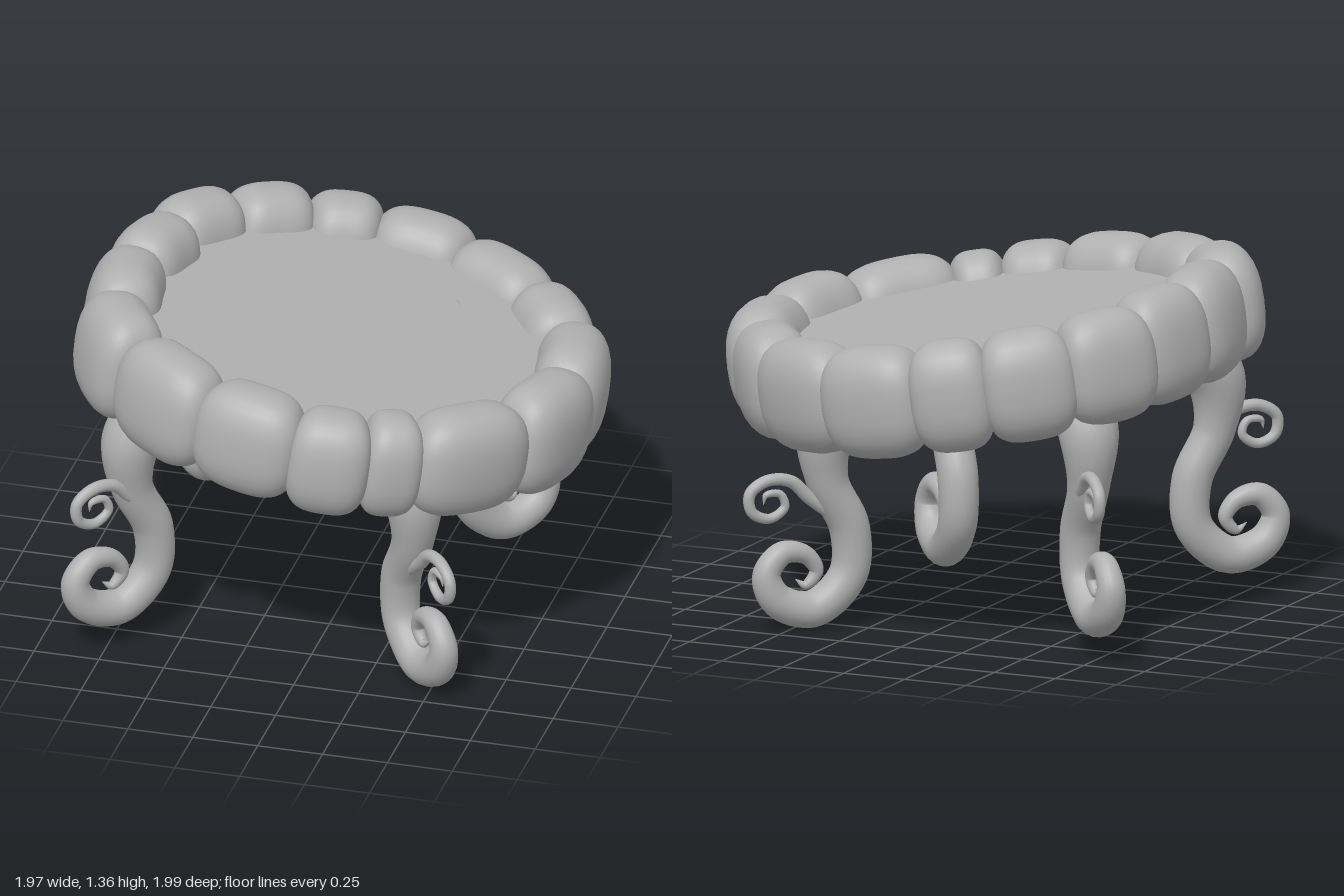
import * as THREE from 'three';

// Smooth closed skin from a rule: u runs along the part, v around it
function skin(nu, nv, rule) {
  const pos = [], idx = [];
  for (let i = 0; i <= nu; i++) for (let j = 0; j < nv; j++) pos.push(...rule(i / nu, (j / nv) * Math.PI * 2));
  for (let i = 0; i < nu; i++) for (let j = 0; j < nv; j++) {
    const k = (j + 1) % nv;
    const a = i * nv + j, b = i * nv + k, c = a + nv, d = b + nv;
    idx.push(a, b, c, b, d, c);
  }
  const g = new THREE.BufferGeometry();
  g.setAttribute('position', new THREE.Float32BufferAttribute(pos, 3));
  g.setIndex(idx);
  g.computeVertexNormals();
  return g;
}

// Tapering tube in the diagonal plane; points are [offset along x, height, radius]
function curl(points, nu, nv) {
  const path = new THREE.CatmullRomCurve3(points.map(([d, y, r]) => new THREE.Vector3(d * Math.SQRT2, y, r)));
  return skin(nu, nv, (u, v) => {
    const p = path.getPoint(u), t = path.getTangent(u);
    const l = Math.hypot(t.x, t.y), c = Math.cos(v) * p.z;
    return [p.x - (t.y / l) * c, p.y + (t.x / l) * c, Math.sin(v) * p.z];
  });
}

// Pillow-shaped stone between two angles of the ring
function stone(from, to, outer, height, lift) {
  const mid = (from + to) / 2, half = ((to - from) / 2) * 1.13;
  const round = (x) => Math.sign(x) * Math.abs(x) ** 0.8;
  return skin(28, 32, (u, v) => {
    const t = Math.sin((u - 0.5) * Math.PI);
    const s = Math.max(0, 1 - Math.abs(t) ** 3.3) ** (1 / 3.3);
    const a = THREE.MathUtils.degToRad(mid + half * t);
    const r = outer - 0.145 + 0.145 * s * round(Math.cos(v));
    return [r * Math.cos(a), lift + height * s * round(Math.sin(v)), r * Math.sin(a)];
  });
}

export function createModel() {
  const model = new THREE.Group();
  const grey = new THREE.MeshStandardMaterial({ color: 0xb0b0b0 });
  const add = (parent, geometry, name) => {
    const mesh = new THREE.Mesh(geometry, grey);
    mesh.name = name;
    parent.add(mesh);
    return mesh;
  };

  // Tilted table top
  const top = new THREE.Group();
  top.name = 'tableTop';
  top.position.y = 1.015;
  top.rotation.set(-0.045, 0, -0.126);
  model.add(top);
  add(top, new THREE.CylinderGeometry(0.8, 0.8, 0.235, 64), 'slab').position.y = -0.025;

  // Ring of uneven stones: [start angle in degrees, outer radius, half height, lift]
  const stones = [
    [3, 1, 0.222, 0], [28.3, 0.982, 0.212, -0.015], [56.5, 0.962, 0.203, -0.025], [70, 0.995, 0.205, -0.02],
    [87.6, 1, 0.209, -0.005], [111.2, 1.022, 0.215, 0], [136.7, 1.045, 0.22, 0.01], [158.8, 0.992, 0.22, 0.015],
    [183.5, 0.992, 0.22, 0.015], [205.3, 1.05, 0.215, 0.01], [225.4, 1.045, 0.213, 0], [244.5, 1.015, 0.213, -0.01],
    [261.6, 1, 0.213, -0.02], [285, 0.958, 0.213, -0.02], [312.7, 0.952, 0.216, -0.01], [336, 0.983, 0.222, 0],
  ];
  stones.forEach(([from, ...size], i) => {
    const to = i < 15 ? stones[i + 1][0] : 363;
    add(top, stone(from, to, ...size), 'rimStone' + (i + 1));
  });

  // Scrolled legs, each with a small tendril
  const legShape = curl([
    [0.38, 0.98, 0.1], [0.46, 0.88, 0.115], [0.532, 0.75, 0.112], [0.53, 0.56, 0.08], [0.467, 0.37, 0.076],
    [0.472, 0.19, 0.073], [0.57, 0.072, 0.07], [0.67, 0.115, 0.064], [0.7, 0.215, 0.053], [0.655, 0.292, 0.045],
    [0.59, 0.278, 0.035], [0.56, 0.215, 0.027], [0.59, 0.165, 0.018], [0.62, 0.19, 0.001],
  ], 110, 20);
  const tendrilShape = curl([
    [0.53, 0.44, 0.025], [0.585, 0.5, 0.025], [0.635, 0.565, 0.024], [0.7, 0.575, 0.023], [0.75, 0.53, 0.022],
    [0.745, 0.46, 0.021], [0.695, 0.43, 0.019], [0.652, 0.47, 0.017], [0.665, 0.52, 0.015],
    [0.705, 0.52, 0.012], [0.712, 0.485, 0.001],
  ], 80, 12);
  const names = ['backLeft', 'backRight', 'frontRight', 'frontLeft'];
  names.forEach((name, i) => {
    const leg = new THREE.Group();
    leg.name = name + 'Leg';
    const raised = i === 1 || i === 2;
    const turn = (degrees) => THREE.MathUtils.degToRad(i % 2 ? -degrees : degrees);
    leg.position.set(-0.12, raised ? 0.08 : 0, 0);
    leg.rotation.y = Math.PI / 4 + (i * Math.PI) / 2 + turn(raised ? -0.3 : 1);
    add(leg, legShape, 'scrollLeg').position.x = raised ? 0.035 : 0;
    const tendril = add(leg, tendrilShape, 'tendril');
    tendril.position.set(raised ? -0.01 : 0, raised ? 0.045 : 0, 0);
    tendril.rotation.y = turn(raised ? 3 : 0.7);
    model.add(leg);
  });
  return model;
}
